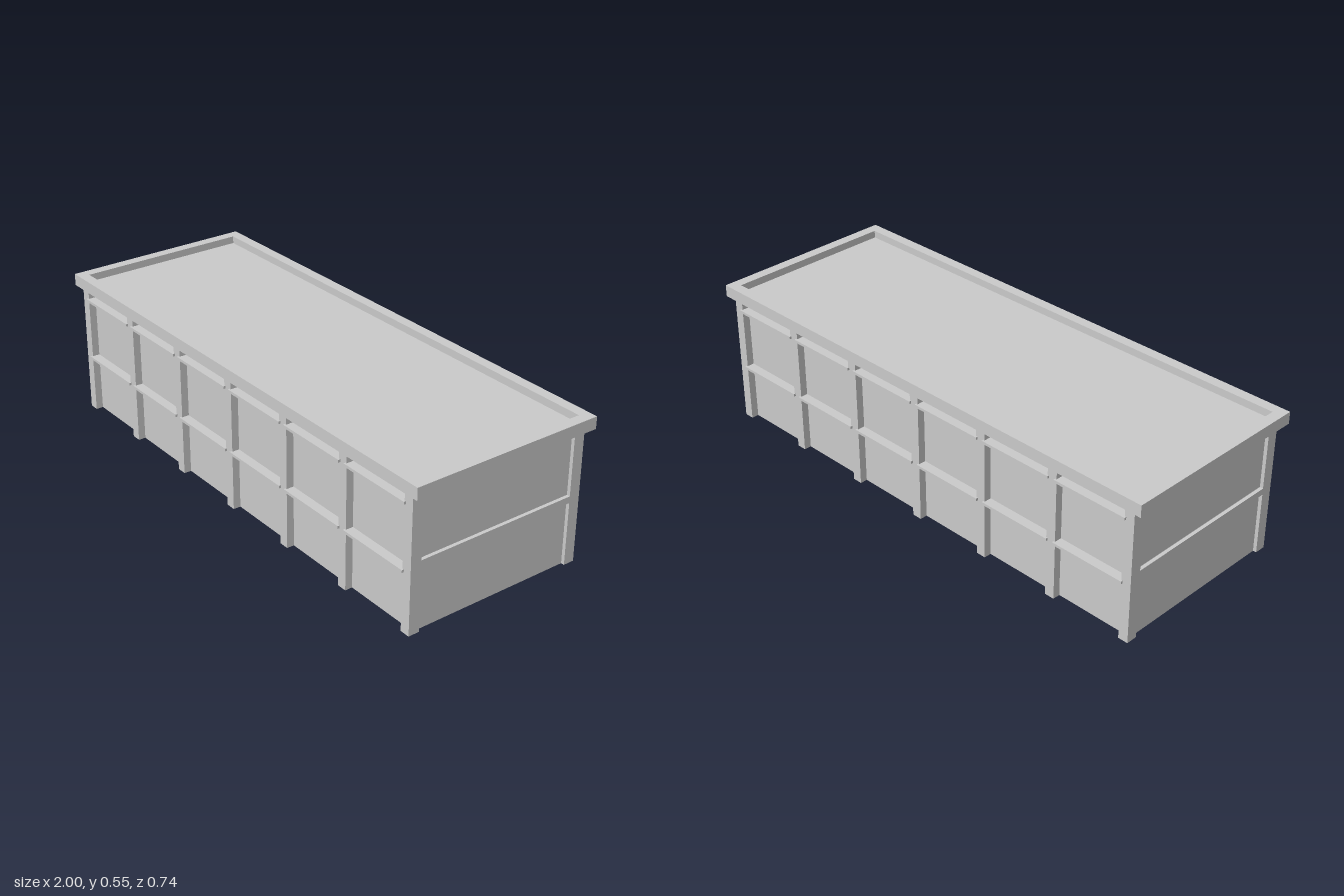
import * as THREE from 'three';

const material = new THREE.MeshStandardMaterial({ color: 0xcccccc, flatShading: true });

// Box given by its lower and upper limits on each axis
function addBox(parent, name, [x0, x1], [y0, y1], [z0, z1]) {
  const mesh = new THREE.Mesh(new THREE.BoxGeometry(x1 - x0, y1 - y0, z1 - z0), material);
  mesh.position.set((x0 + x1) / 2, (y0 + y1) / 2, (z0 + z1) / 2);
  mesh.name = name;
  parent.add(mesh);
}

// Limits mirrored to the chosen side
const span = (side, a, b) => (side > 0 ? [a, b] : [-b, -a]);

export function createModel() {
  const group = new THREE.Group();
  group.name = 'container';

  const endX = 0.966, panelX = 0.953;
  const postZ = 0.355, wallZ = 0.327, railZ = 0.363, frameZ = 0.313;
  const rimY = 0.505, topY = 0.55, lidY = 0.522;
  const postWidth = 0.038, bays = 6;
  const pitch = (2 * endX - postWidth) / bays;
  const firstX = -endX + postWidth / 2;

  // Core with recessed wall panels, and the sunken lid
  addBox(group, 'body', [-panelX, panelX], [0, rimY], [-wallZ, wallZ]);
  addBox(group, 'lid', [-0.97, 0.97], [rimY, lidY], [-0.34, 0.34]);

  // Raised rim around the lid
  const outline = new THREE.Shape();
  outline.moveTo(-1, -0.369).lineTo(1, -0.369).lineTo(1, 0.369).lineTo(-1, 0.369).closePath();
  const opening = new THREE.Path();
  opening.moveTo(-0.96, -0.329).lineTo(-0.96, 0.329).lineTo(0.96, 0.329).lineTo(0.96, -0.329).closePath();
  outline.holes.push(opening);
  const rimGeometry = new THREE.ExtrudeGeometry(outline, { depth: topY - rimY, bevelEnabled: false });
  rimGeometry.rotateX(-Math.PI / 2);
  const rim = new THREE.Mesh(rimGeometry, material);
  rim.position.y = rimY;
  rim.name = 'rim';
  group.add(rim);

  for (const side of [1, -1]) {
    // Posts along each long side; the end ones form the corners
    for (let i = 0; i <= bays; i++) {
      const x = firstX + i * pitch;
      const corner = i === 0 || i === bays;
      addBox(group, corner ? 'cornerPost' : 'sidePost',
        [x - postWidth / 2, x + postWidth / 2], [0, rimY],
        span(side, corner ? frameZ : wallZ - 0.01, postZ));
    }

    // Two short rails in every bay
    for (let i = 0; i < bays; i++) {
      const x = firstX + (i + 0.5) * pitch;
      const half = (pitch - postWidth) / 2 + 0.006;
      for (const y of [0.224, 0.464]) {
        addBox(group, 'sideRail', [x - half, x + half], [y - 0.005, y + 0.005],
          span(side, wallZ - 0.01, railZ));
      }
    }

    // Cross bars framing the two end panels
    for (const [y0, y1] of [[0.237, 0.262], [0.478, rimY]]) {
      addBox(group, 'endBar', span(side, panelX - 0.01, endX), [y0, y1], [-frameZ, frameZ]);
    }
  }

  return group;
}
